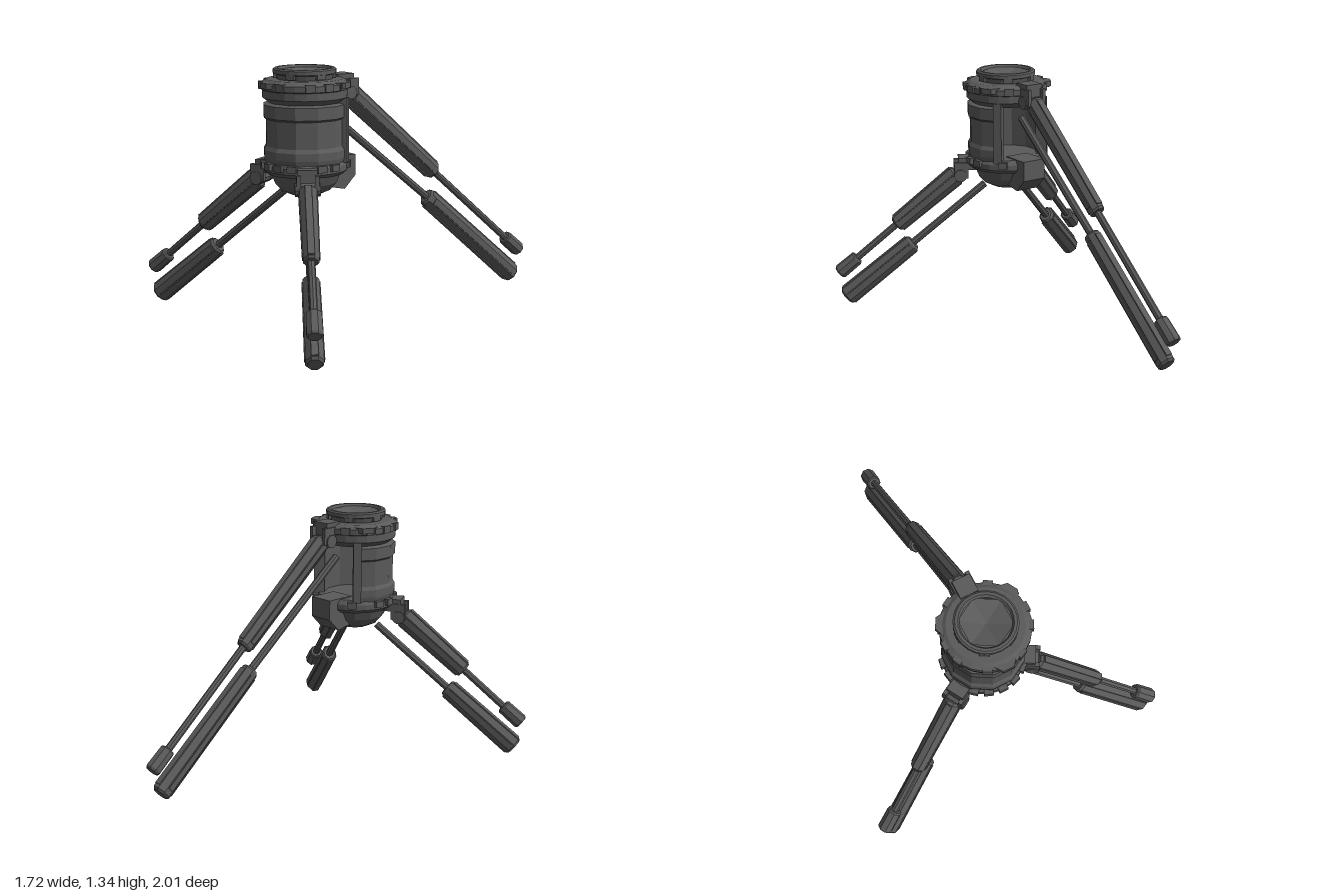
import * as THREE from 'three';

const flat = new THREE.MeshStandardMaterial({ color: 0x5a5a5a, flatShading: true });
const flatDouble = new THREE.MeshStandardMaterial({ color: 0x5a5a5a, flatShading: true, side: THREE.DoubleSide });
const DEG = Math.PI / 180;

function add(parent, name, geometry, material = flat) {
  const mesh = new THREE.Mesh(geometry, material);
  mesh.name = name;
  parent.add(mesh);
  return mesh;
}

function box(parent, name, w, h, d, x, y, z) {
  const mesh = add(parent, name, new THREE.BoxGeometry(w, h, d));
  mesh.position.set(x, y, z);
  return mesh;
}

// Faceted turned part from [radius, y] pairs
function turned(points, sides, start = 0, sweep = Math.PI * 2) {
  return new THREE.LatheGeometry(points.map(([r, y]) => new THREE.Vector2(r, y)), sides, start, sweep);
}

// Flat outline pushed out to a depth
function extruded(points, depth) {
  const shape = new THREE.Shape(points.map(([x, y]) => new THREE.Vector2(x, y)));
  return new THREE.ExtrudeGeometry(shape, { depth, bevelEnabled: false });
}

// Group whose local y axis runs from a to b, both [outward, height]
function span(parent, name, a, b) {
  const g = new THREE.Group();
  g.name = name;
  const dz = b[0] - a[0], dy = b[1] - a[1];
  g.position.set(0, a[1], a[0]);
  g.rotation.x = Math.atan2(dz, dy);
  parent.add(g);
  return { g, len: Math.hypot(dz, dy) };
}

function rod(parent, name, a, b, radius) {
  const { g, len } = span(parent, name, a, b);
  add(g, name, new THREE.CylinderGeometry(radius, radius, len, 8)).position.y = len / 2;
}

// Octagonal sleeve with small end chamfers and rails along its faces
function sleeve(parent, name, a, b, r0, r1) {
  const { g, len } = span(parent, name, a, b);
  const c = 0.012;
  const tube = add(g, name + 'Tube', turned([
    [0, 0], [r0 * 0.8, 0], [r0, c], [r1, len - c], [r1 * 0.8, len], [0, len],
  ], 8, Math.PI / 8));
  tube.scale.x = 0.85;
  const taper = Math.atan2(r1 - r0, len);
  for (const s of [-1, 1]) {
    box(g, name + 'SideRail', 0.012, len * 0.9, 0.03, s * (r0 + r1) * 0.385, len / 2, 0).rotation.z = -s * taper * 0.8;
    box(g, name + 'FaceRail', 0.035, len * 0.93, 0.012, 0, len / 2, s * (r0 + r1) * 0.465).rotation.x = s * taper;
  }
}

// One telescopic leg: upper strut and lower strut side by side
function leg(name, angle, p) {
  const g = new THREE.Group();
  g.name = name;
  g.rotation.y = angle;
  const [r, y] = p.top;

  // Hip bracket and hinge
  box(g, 'hipBracket', 0.1, 0.07, 0.1, 0, y + 0.065, 0.225);
  for (const s of [-1, 1]) {
    box(g, 'hipCheek', 0.022, 0.09, 0.08, s * 0.047, y + 0.03, 0.26);
  }
  const pin = add(g, 'hipPin', new THREE.CylinderGeometry(0.036, 0.036, 0.13, 10));
  pin.rotation.z = Math.PI / 2;
  pin.position.set(0, y, r - 0.015);

  // Upper strut: sleeve, rod, end cap
  sleeve(g, 'upperSleeve', p.top, p.mid, 0.057, 0.05);
  rod(g, 'upperRod', p.mid, p.capStart, 0.02);
  const cap = span(g, 'rodCap', p.capStart, p.capEnd);
  add(cap.g, 'rodCap', turned([
    [0, 0], [0.034, 0], [0.041, 0.008], [0.043, cap.len - 0.012], [0.036, cap.len], [0, cap.len],
  ], 8, Math.PI / 8));

  // Lower strut: rod with collar and foot sleeve
  rod(g, 'lowerRod', p.inner, p.footTop, 0.021);
  sleeve(g, 'footSleeve', p.footTop, p.foot, 0.052, 0.057);
  return g;
}

// Ring of small lugs around the body
function lugs(parent, name, angles, radius, y, w, h, d) {
  for (const a of angles) {
    const mesh = box(parent, name, w, h, d, Math.sin(a * DEG) * radius, y, Math.cos(a * DEG) * radius);
    mesh.rotation.y = a * DEG;
  }
}

export function createModel() {
  const model = new THREE.Group();
  model.name = 'tripodUnit';
  const unit = new THREE.Group();
  unit.name = 'unit';
  unit.position.z = 0.5;
  model.add(unit);

  const body = new THREE.Group();
  body.name = 'body';
  unit.add(body);

  // Drum wall, open at the back so the rear leg can fold in
  add(body, 'drumWall', turned([
    [0.17, 0.86], [0.215, 0.86], [0.222, 0.89], [0.222, 0.93], [0.21, 0.95], [0.21, 1.09],
    [0.222, 1.1], [0.222, 1.165], [0.19, 1.175], [0.19, 1.2], [0.17, 1.2], [0.17, 0.86],
  ], 9, 225 * DEG, 270 * DEG), flatDouble);
  for (const s of [-1, 1]) {
    const a = (180 + s * 47) * DEG;
    const post = box(body, 'backPost', 0.045, 0.34, 0.06, Math.sin(a) * 0.2, 1.03, Math.cos(a) * 0.2);
    post.rotation.y = a;
  }

  // Upper collar with rim
  add(body, 'upperCollar', turned([
    [0, 1.17], [0.185, 1.17], [0.222, 1.2], [0.222, 1.24], [0.233, 1.245], [0.233, 1.275],
    [0.2, 1.295], [0.15, 1.295], [0, 1.295],
  ], 24));
  lugs(body, 'collarLug', [25, 65, 90, 115, 150, 210, 245, 270, 295, 335], 0.225, 1.265, 0.05, 0.04, 0.03);

  // Collar tabs
  const tabGeo = extruded([[-0.07, 0], [0.07, 0], [0.03, 0.05], [-0.03, 0.05]], 0.03);
  tabGeo.rotateX(Math.PI / 2);
  for (const a of [0, 120, 240]) {
    const holder = new THREE.Group();
    holder.name = 'collarTab';
    holder.rotation.y = a * DEG;
    body.add(holder);
    add(holder, 'collarTab', tabGeo).position.set(0, 1.285, 0.2);
  }

  // Dished lid
  add(body, 'lid', turned([
    [0.145, 1.29], [0.152, 1.32], [0.165, 1.325], [0.165, 1.345], [0.155, 1.352], [0.14, 1.352],
    [0.13, 1.335],
  ], 24), flatDouble);
  add(body, 'lidDish', turned([[0.14, 1.34], [0, 1.3]], 6), flatDouble);
  lugs(body, 'lidLug', [30, 90, 150, 210, 270, 330], 0.15, 1.315, 0.05, 0.03, 0.025);

  // Base ring and bowl
  add(body, 'baseRing', turned([
    [0, 0.8], [0.2, 0.8], [0.222, 0.82], [0.222, 0.85], [0.205, 0.875], [0, 0.875],
  ], 24));
  lugs(body, 'baseLug', [0, 20, 40, 80, 100, 140, 220, 260, 280, 320, 340], 0.222, 0.85, 0.05, 0.035, 0.03);
  add(body, 'bowl', turned([
    [0, 0.68], [0.075, 0.685], [0.13, 0.71], [0.165, 0.75], [0.19, 0.81], [0, 0.81],
  ], 12, 15 * DEG));

  // Rear dock with chamfered lower edge
  const dockGeo = extruded([[0.1, 0.72], [0.2, 0.7], [0.27, 0.77], [0.27, 0.88], [0.1, 0.88]], 0.14);
  dockGeo.translate(0, 0, -0.07);
  dockGeo.rotateY(Math.PI / 2);
  add(body, 'rearDock', dockGeo);

  // Two short front legs and one long rear leg
  const shortLeg = {
    top: [0.28, 0.757], mid: [0.635, 0.466], capStart: [0.86, 0.277], capEnd: [0.966, 0.19],
    inner: [0.127, 0.695], footTop: [0.54, 0.358], foot: [0.932, 0.043],
  };
  const longLeg = {
    top: [0.265, 1.208], mid: [0.845, 0.716], capStart: [1.365, 0.275], capEnd: [1.474, 0.185],
    inner: [0.15, 1.1], footTop: [0.79, 0.583], foot: [1.425, 0.047],
  };
  unit.add(leg('leftLeg', 60 * DEG, shortLeg), leg('rightLeg', -60 * DEG, shortLeg), leg('rearLeg', Math.PI, longLeg));
  return model;
}
